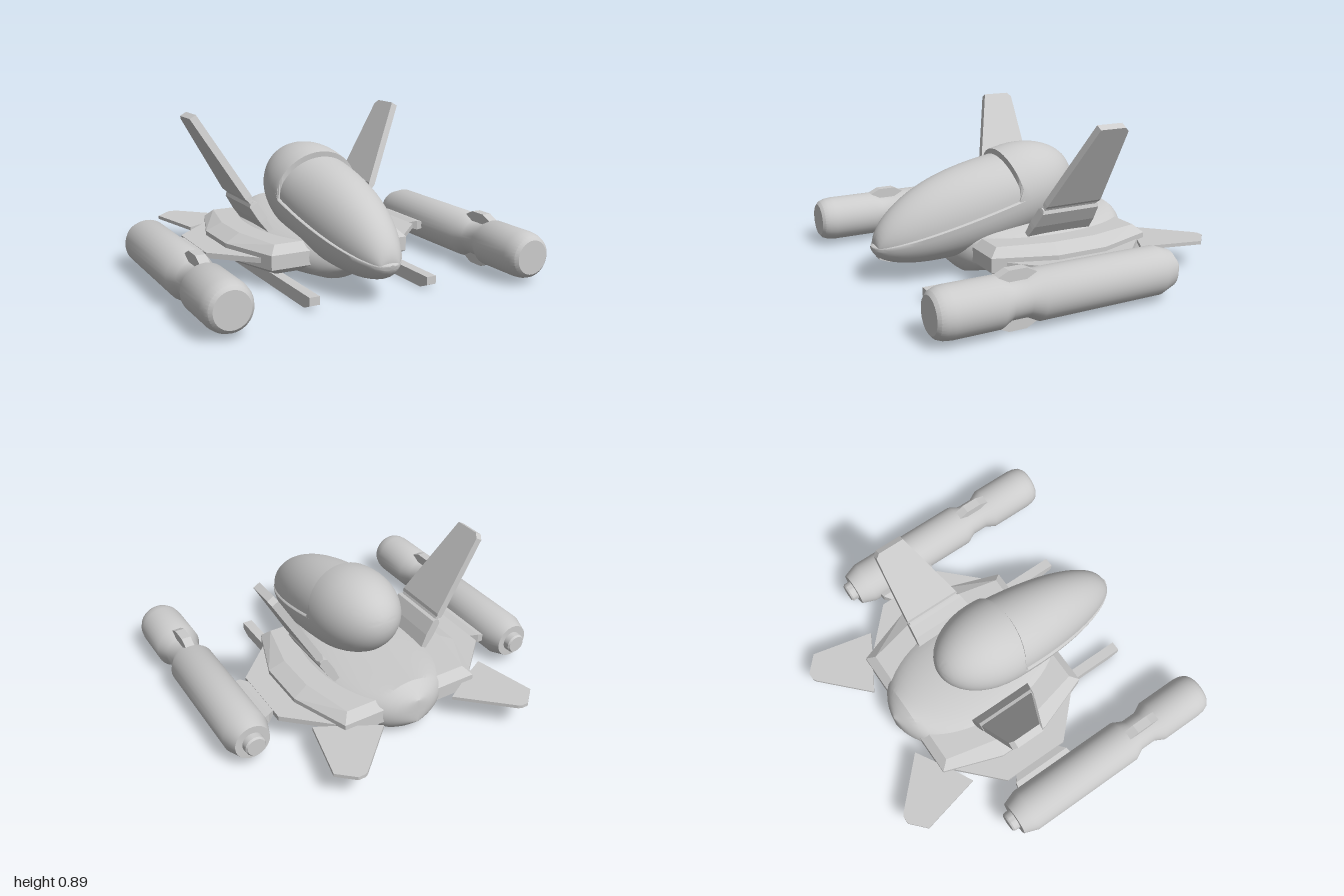
import * as THREE from 'three';
import { toCreasedNormals } from 'three/addons/utils/BufferGeometryUtils.js';
import { ConvexGeometry } from 'three/addons/geometries/ConvexGeometry.js';

const grey = new THREE.MeshStandardMaterial({ color: 0xcccccc });

function add(parent, name, geometry) {
  const mesh = new THREE.Mesh(geometry, grey);
  mesh.name = name;
  parent.add(mesh);
  return mesh;
}

const solid = (points) => new ConvexGeometry(points.map((p) => new THREE.Vector3(...p)));

// Smooth body from [z, half width, height above, depth below] sections
function loft(sections, sides = 48) {
  const pos = [], index = [];
  sections.forEach(([z, rx, up, down]) => {
    for (let j = 0; j < sides; j++) {
      const a = (j / sides) * Math.PI * 2, s = Math.sin(a);
      pos.push(Math.cos(a) * rx, s * (s > 0 ? up : down), z);
    }
  });
  for (let i = 0; i < sections.length - 1; i++) {
    for (let j = 0; j < sides; j++) {
      const a = i * sides + j, b = i * sides + (j + 1) % sides;
      index.push(a, b, b + sides, a, b + sides, a + sides);
    }
  }
  const g = new THREE.BufferGeometry();
  g.setAttribute('position', new THREE.Float32BufferAttribute(pos, 3));
  g.setIndex(index);
  return toCreasedNormals(g, 0.5);
}

// Radius of the long egg-shaped fuselage at distance z along its axis
function eggRadius(z) {
  const t = z < 0.05 ? (0.05 - z) / 0.39 : (z - 0.05) / 0.87;
  return 0.257 * Math.sqrt(Math.max(0, 1 - t * t));
}

function buildFuselage(parent) {
  const group = new THREE.Group();
  group.name = 'fuselage';
  group.position.set(0, 0.457, 0);
  group.rotation.x = 0.27;
  parent.add(group);

  // Round rear, and a lower shell that is cut open for the canopy
  const shell = [];
  for (let i = 0; i <= 12; i++) {
    const z = 0.05 - 0.39 * Math.cos((i / 12) * Math.PI / 2);
    const r = eggRadius(z);
    shell.push([z, r, r, r]);
  }
  shell.push([0.075, 0.257, 0.257, 0.257]);
  for (let i = 0; i <= 20; i++) {
    const z = 0.05 + 0.87 * Math.sin(0.075 + (i / 20) * (Math.PI / 2 - 0.075));
    const r = eggRadius(z);
    shell.push([z, r, Math.min(r, 0.02), r]);
  }
  add(group, 'fuselageShell', loft(shell));

  // Canopy, slightly inset from the shell
  const canopy = [[0.09, 0, 0, 0]];
  for (let i = 0; i <= 20; i++) {
    const t = Math.sin((i / 20) * Math.PI / 2), z = 0.09 + 0.81 * t;
    const h = 0.232 * Math.pow(1 - t ** 2.6, 0.5) + 0.025 * Math.sin(Math.PI * t);
    canopy.push([z, 0.94 * eggRadius(z), h, 0.02 * (1 - t)]);
  }
  add(group, 'canopy', loft(canopy));
}

function buildHull(parent) {
  // Faceted octagonal hull with chamfered rim
  const levels = [[0.245, 0.38, 0.44, 0.45, 0.13], [0.2, 0.42, 0.49, 0.54, 0.15],
    [0.12, 0.42, 0.49, 0.54, 0.15], [0.08, 0.37, 0.43, 0.47, 0.13]];
  const points = [];
  for (const [y, x1, z1, x2, z2] of levels) {
    for (const sx of [1, -1]) for (const sz of [1, -1]) {
      points.push([sx * x1, y, -0.11 + sz * z1], [sx * x2, y, -0.11 + sz * z2]);
    }
  }
  add(parent, 'hull', solid(points));

  // Rounded central body with blunt ends
  const half = [];
  for (let i = 0; i <= 14; i++) {
    const t = Math.sin((i / 14) * Math.PI / 2);
    const w = 0.4 * Math.sqrt(1 - t * t);
    const h = t < 0.86 ? 0.147 : 0.147 - 0.075 * (t - 0.86) / 0.14;
    half.push([0.56 * t, w, h, h]);
  }
  const core = [...half.slice(1).reverse().map(([z, ...r]) => [-z, ...r]), ...half];
  add(parent, 'centralBody', loft(core)).position.set(0, 0.163, -0.105);
}

// Engine pod profile: [radius, distance along z]
const podProfile = [[0, -0.46], [0.05, -0.46], [0.058, -0.45], [0.06, -0.415], [0.1, -0.415],
  [0.13, -0.33], [0.13, 0.375], [0.1, 0.435], [0.1, 0.53], [0.13, 0.59], [0.13, 0.84],
  [0.125, 0.88], [0.113, 0.91], [0.095, 0.925], [0, 0.925]];

function buildPod(parent, s) {
  const pod = new THREE.Group();
  pod.name = s > 0 ? 'leftEnginePod' : 'rightEnginePod';
  pod.position.set(s * 0.868, 0.158, 0);
  parent.add(pod);
  const lathe = new THREE.LatheGeometry(podProfile.map((p) => new THREE.Vector2(...p)), 40);
  add(pod, 'podBody', toCreasedNormals(lathe.rotateX(Math.PI / 2), 0.5));
  // Tapered bridges across the narrow neck, above and below
  for (const v of [1, -1]) {
    const pts = [];
    for (const x of [-0.027, 0.027]) {
      pts.push([x, v * 0.08, 0.38], [x, v * 0.125, 0.38], [x, v * 0.153, 0.435],
        [x, v * 0.153, 0.53], [x, v * 0.125, 0.59], [x, v * 0.08, 0.59]);
    }
    add(pod, 'neckBridge', solid(pts));
  }
}

// Flat slab from a plan outline of [x, z] corners
function slab(outline, s, y0, y1) {
  return solid(outline.flatMap(([x, z]) => [[s * x, y0, z], [s * x, y1, z]]));
}

// Upright panel from [height, z, half thickness] corners, leaning outward
function leaningPanel(outline, s) {
  const lean = 0.518, c = Math.cos(lean), n = Math.sin(lean);
  return solid(outline.flatMap(([h, z, t]) => [-t, t].map((d) =>
    [s * (0.3 + h * n + d * c), 0.27 + h * c - d * n, z])));
}

function buildSide(parent, s) {
  buildPod(parent, s);

  // Thin side wing and its joint to the pod
  add(parent, 'sideWing', slab([[0.3, -0.55], [0.44, -0.54], [0.67, -0.32], [0.67, 0.08],
    [0.42, 0.33], [0.3, 0.33]], s, 0.145, 0.175));
  add(parent, 'podJoint', solid([
    ...[0.13, 0.185].flatMap((y) => [[s * 0.71, y, -0.29], [s * 0.71, y, 0.07]]),
    ...[0.145, 0.17].flatMap((y) => [[s * 0.66, y, -0.25], [s * 0.66, y, 0.03]]),
    ...[0.14, 0.175].flatMap((y) => [[s * 0.76, y, -0.3], [s * 0.76, y, 0.08]])]));

  // Flat tail fin
  add(parent, 'tailFin', slab([[0.225, -0.67], [0.485, -0.92], [0.505, -0.93], [0.545, -0.93],
    [0.637, -0.845], [0.555, -0.485], [0.44, -0.545], [0.32, -0.625]], s, 0.15, 0.17));

  // Leaning upper fin: mount, hinge and blade
  add(parent, 'finMount', leaningPanel([[-0.03, 0.1, 0.015], [0.04, 0.085, 0.015], [0.06, 0.08, 0.026],
    [0.15, 0.055, 0.026], [0.165, 0.05, 0.012], [-0.03, -0.3, 0.015], [0.06, -0.3, 0.026],
    [0.15, -0.3, 0.026], [0.165, -0.3, 0.012]], s));
  add(parent, 'finHinge', leaningPanel([[0.14, 0.05, 0.012], [0.2, 0.03, 0.012],
    [0.14, -0.29, 0.012], [0.2, -0.29, 0.012]], s));
  add(parent, 'finBlade', leaningPanel([[0.18, 0.045, 0.014], [0.2, 0.04, 0.021], [0.71, -0.12, 0.021],
    [0.71, -0.275, 0.021], [0.685, -0.3, 0.021], [0.2, -0.3, 0.021], [0.18, -0.3, 0.014]], s));

  // Landing skid under the hull, chamfered at both ends
  const skid = [];
  for (const x of [0.322, 0.38]) {
    skid.push([s * x, 0.075, 0.73], [s * x, 0.03, 0.73], [s * x, 0.005, 0.67],
      [s * x, 0.005, -0.33], [s * x, 0.075, -0.36]);
  }
  add(parent, 'landingSkid', solid(skid));
}

export function createModel() {
  const ship = new THREE.Group();
  ship.name = 'spacecraft';
  buildHull(ship);
  buildFuselage(ship);
  for (const s of [1, -1]) buildSide(ship, s);
  return ship;
}
